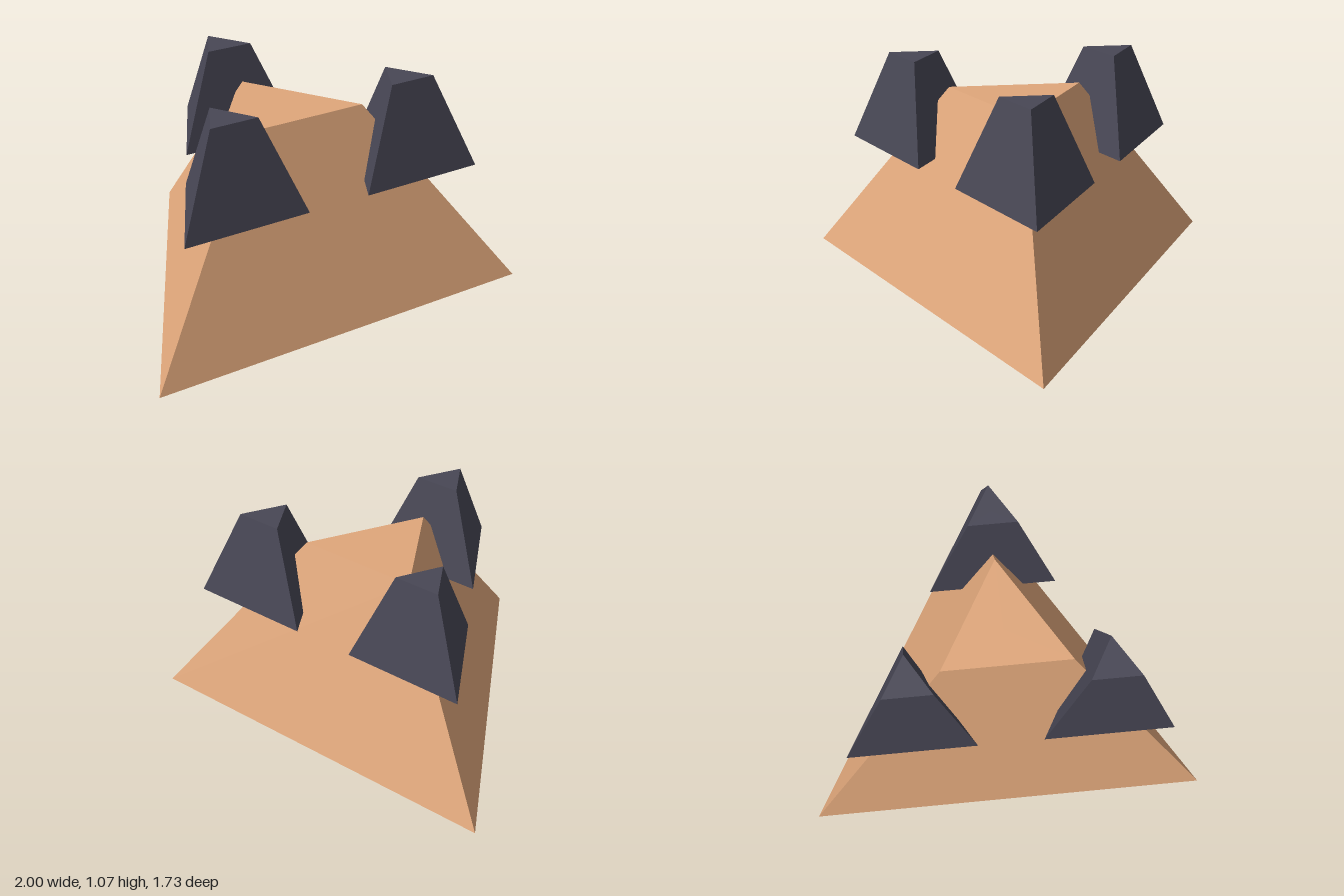
import * as THREE from 'three';

const SAND = new THREE.MeshStandardMaterial({ name: 'sand', color: 0xe0a77b, flatShading: true });
const SLATE = new THREE.MeshStandardMaterial({ name: 'slate', color: 0x484755, flatShading: true });

const CENTRE_Z = 0.2887; // centroid of the triangular footprint

// Truncated three-sided pyramid with one corner pointing to -z
function frustum(name, topRadius, bottomRadius, y0, y1, material) {
  const geometry = new THREE.CylinderGeometry(topRadius, bottomRadius, y1 - y0, 3);
  geometry.rotateY(Math.PI);
  geometry.translate(0, (y0 + y1) / 2, 0);
  const mesh = new THREE.Mesh(geometry, material);
  mesh.name = name;
  return mesh;
}

export function createModel() {
  const model = new THREE.Group();
  model.name = 'triangularTower';

  // Large body
  const body = frustum('body', 0.367, 1.1547, 0, 0.925, SAND);
  body.position.z = CENTRE_Z;
  model.add(body);

  // One turret sunk into each sloping corner, all facing the same way
  ['backTurret', 'leftTurret', 'rightTurret'].forEach((name, i) => {
    const angle = Math.PI - (i * Math.PI * 2) / 3;
    const turret = frustum(name, 0.1386, 0.368, 0.605, 1.065, SLATE);
    turret.position.set(Math.sin(angle) * 0.555, 0, CENTRE_Z + Math.cos(angle) * 0.555);
    model.add(turret);
  });

  return model;
}
